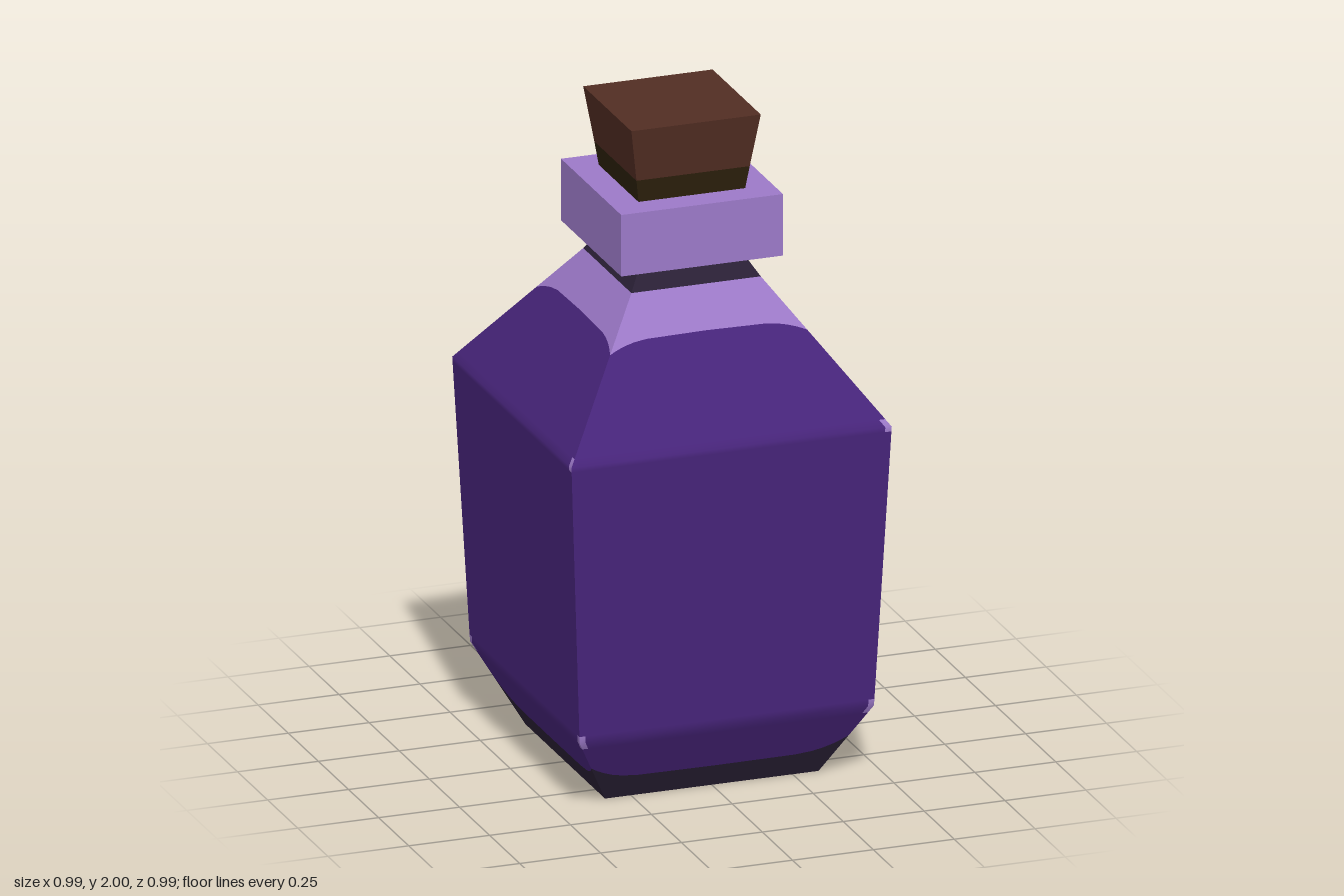
import * as THREE from 'three';

const mat = (name, color) => new THREE.MeshStandardMaterial({ name, color });

// [height, half width] of the square glass body
const PROFILE = [[0, 0.33], [0.23, 0.455], [1.1, 0.495], [1.5, 0.2]];
function halfWidth(y) {
  let i = 0;
  while (i < PROFILE.length - 2 && y > PROFILE[i + 1][0]) i++;
  const [y0, w0] = PROFILE[i], [y1, w1] = PROFILE[i + 1];
  return w0 + (w1 - w0) * (y - y0) / (y1 - y0);
}

// One side of the body: rows of cells, each with a material index
const COLUMNS = [-1, -0.96, -0.92, -0.86, -0.78, -0.65, 0, 0.65, 0.78, 0.86, 0.92, 0.96, 1];
const LIQUID = 0, GLASS = 1, DARK = 2;
const ROWS = [
  { y: () => 0, band: DARK },
  { y: u => 0.075 + 0.05 * Math.abs(u) ** 8, band: LIQUID },
  { y: () => 0.205, band: LIQUID, chip: 'both' },
  { y: () => 0.23, band: LIQUID, chip: 'both' },
  { y: () => 0.25, band: LIQUID },
  { y: () => 1.085, band: LIQUID, chip: 'one' },
  { y: () => 1.1, band: LIQUID, chip: 'one' },
  { y: () => 1.12, band: LIQUID },
  { y: u => 1.388 - 0.03 * Math.abs(u) ** 6, band: GLASS },
  { y: () => 1.5 },
];
function bodySide() {
  const positions = [], cells = [[], [], []], n = COLUMNS.length;
  ROWS.forEach(row => COLUMNS.forEach(u => {
    const y = row.y(u), w = halfWidth(y);
    positions.push(u * w, y, w);
  }));
  for (let r = 0; r < ROWS.length - 1; r++) {
    for (let c = 0; c < n - 1; c++) {
      const { band, chip } = ROWS[r], a = r * n + c, b = a + n;
      const worn = chip && (c === n - 2 || (chip === 'both' && c === 0));
      cells[worn ? GLASS : band].push(a, a + 1, b + 1, a, b + 1, b);
    }
  }
  const g = new THREE.BufferGeometry();
  g.setAttribute('position', new THREE.Float32BufferAttribute(positions, 3));
  g.setIndex(cells.flat());
  let start = 0;
  cells.forEach((list, i) => { g.addGroup(start, list.length, i); start += list.length; });
  g.computeVertexNormals(); // smooth up the side, sharp at the corners
  return g;
}

// Flat-sided square frustum without caps
function frustum(w0, y0, w1, y1) {
  const g = new THREE.CylinderGeometry(w1 * Math.SQRT2, w0 * Math.SQRT2, y1 - y0, 4, 1, true)
    .rotateY(Math.PI / 4).translate(0, (y0 + y1) / 2, 0).toNonIndexed();
  g.computeVertexNormals();
  return g;
}

// Horizontal square facing up or down
const cap = (w, y, up) => new THREE.PlaneGeometry(2 * w, 2 * w)
  .rotateX(up ? -Math.PI / 2 : Math.PI / 2).translate(0, y, 0);

export function createModel() {
  const liquid = mat('deepPurple', 0x47247a);
  const glass = mat('lilacGlass', 0x9c79c8);
  const dark = mat('darkViolet', 0x2a2036);
  const cork = mat('corkBrown', 0x522d23);
  const wetCork = mat('darkCork', 0x2c200c);

  const model = new THREE.Group();
  const add = (parent, name, geometry, material) => {
    const mesh = new THREE.Mesh(geometry, material);
    mesh.name = name;
    parent.add(mesh);
    return mesh;
  };
  const part = name => {
    const group = new THREE.Group();
    group.name = name;
    model.add(group);
    return group;
  };

  // Body: four equal sides and a base
  const body = part('body');
  const side = bodySide();
  for (let i = 0; i < 4; i++) {
    add(body, 'bodySide', side, [liquid, glass, dark]).rotation.y = i * Math.PI / 2;
  }
  add(body, 'base', cap(0.33, 0, false), dark);

  // Pinched neck and square collar
  const neck = part('neck');
  add(neck, 'neckPinch', frustum(0.2, 1.5, 0.165, 1.555), dark);
  add(neck, 'collarUnderside', frustum(0.165, 1.555, 0.235, 1.571), dark);
  add(neck, 'collarLip', frustum(0.235, 1.571, 0.25, 1.575), glass);
  add(neck, 'collar', frustum(0.25, 1.575, 0.25, 1.765), glass);
  add(neck, 'collarTop', cap(0.25, 1.765, true), glass);

  // Tapered stopper, darker where it enters the neck
  const stopper = part('stopper');
  add(stopper, 'stopperFoot', frustum(0.165, 1.765, 0.175, 1.835), wetCork);
  add(stopper, 'stopperBody', frustum(0.175, 1.835, 0.2, 2), cork);
  add(stopper, 'stopperTop', cap(0.2, 2, true), cork);

  return model;
}
